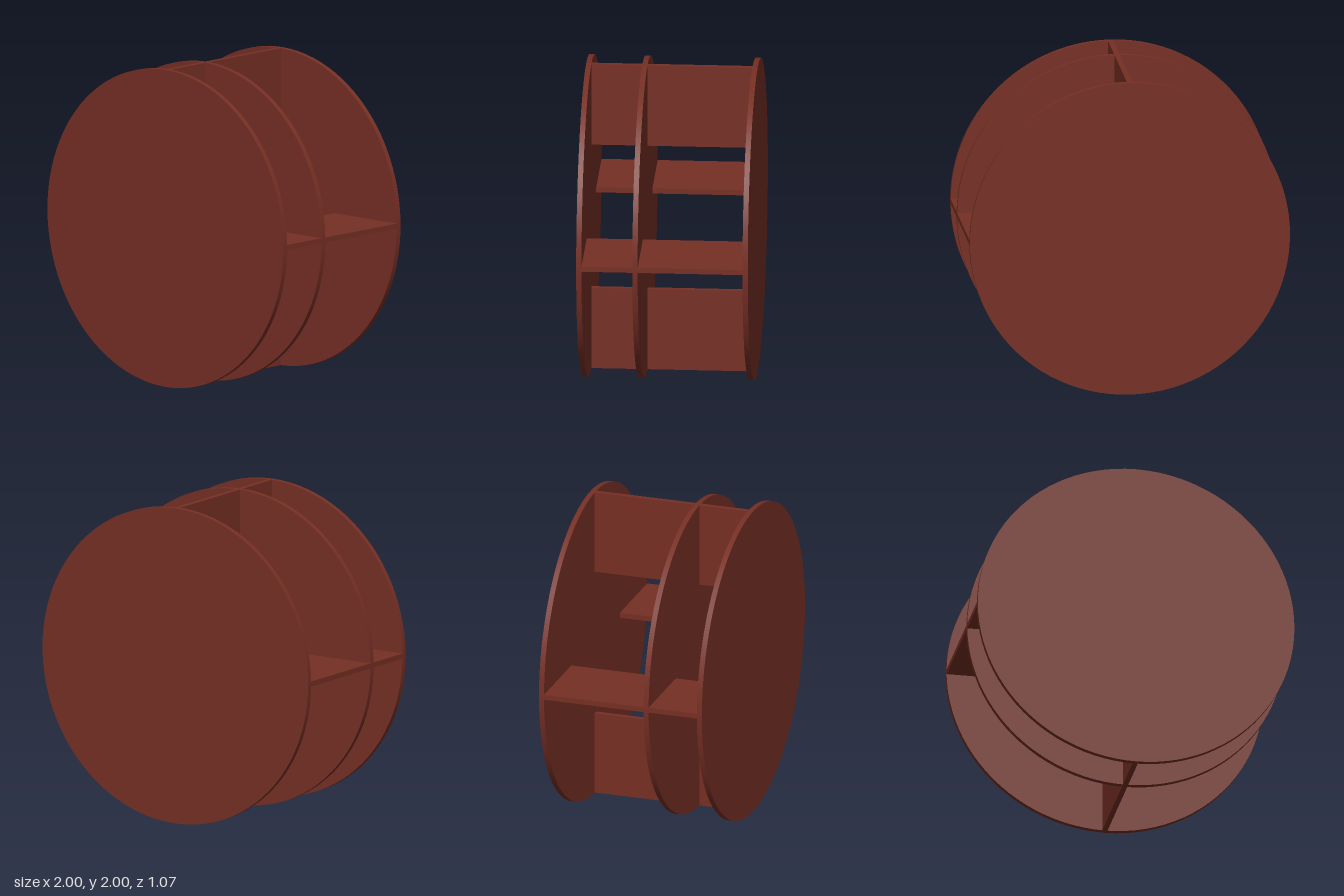
import * as THREE from 'three';

export function createModel() {
  const model = new THREE.Group();
  model.name = 'partitionedDrum';
  const rust = new THREE.MeshStandardMaterial({ color: 0x762f24 });
  rust.name = 'rust brown';

  const radius = 1, thickness = 0.033, finInner = 0.472;
  const discs = [['frontDisc', 0.517], ['middleDisc', 0.168], ['backDisc', -0.517]];

  // Three round plates standing upright, facing front and back
  const discGeometry = new THREE.CylinderGeometry(radius, radius, thickness, 96);
  discGeometry.rotateX(Math.PI / 2);
  for (const [name, z] of discs) {
    const disc = new THREE.Mesh(discGeometry, rust);
    disc.name = name;
    disc.position.set(0, radius, z);
    model.add(disc);
  }

  // Four radial fins in each bay between neighbouring plates
  for (let bay = 0; bay < 2; bay++) {
    const z0 = discs[bay][1] - thickness / 2;
    const z1 = discs[bay + 1][1] + thickness / 2;
    const finGeometry = new THREE.BoxGeometry(radius - finInner, thickness, z0 - z1);
    finGeometry.translate((radius + finInner) / 2, 0, (z0 + z1) / 2);
    for (let i = 0; i < 4; i++) {
      const fin = new THREE.Mesh(finGeometry, rust);
      fin.name = bay === 0 ? 'frontFin' : 'backFin';
      fin.position.y = radius;
      fin.rotation.z = i * Math.PI / 2;
      model.add(fin);
    }
  }
  return model;
}
